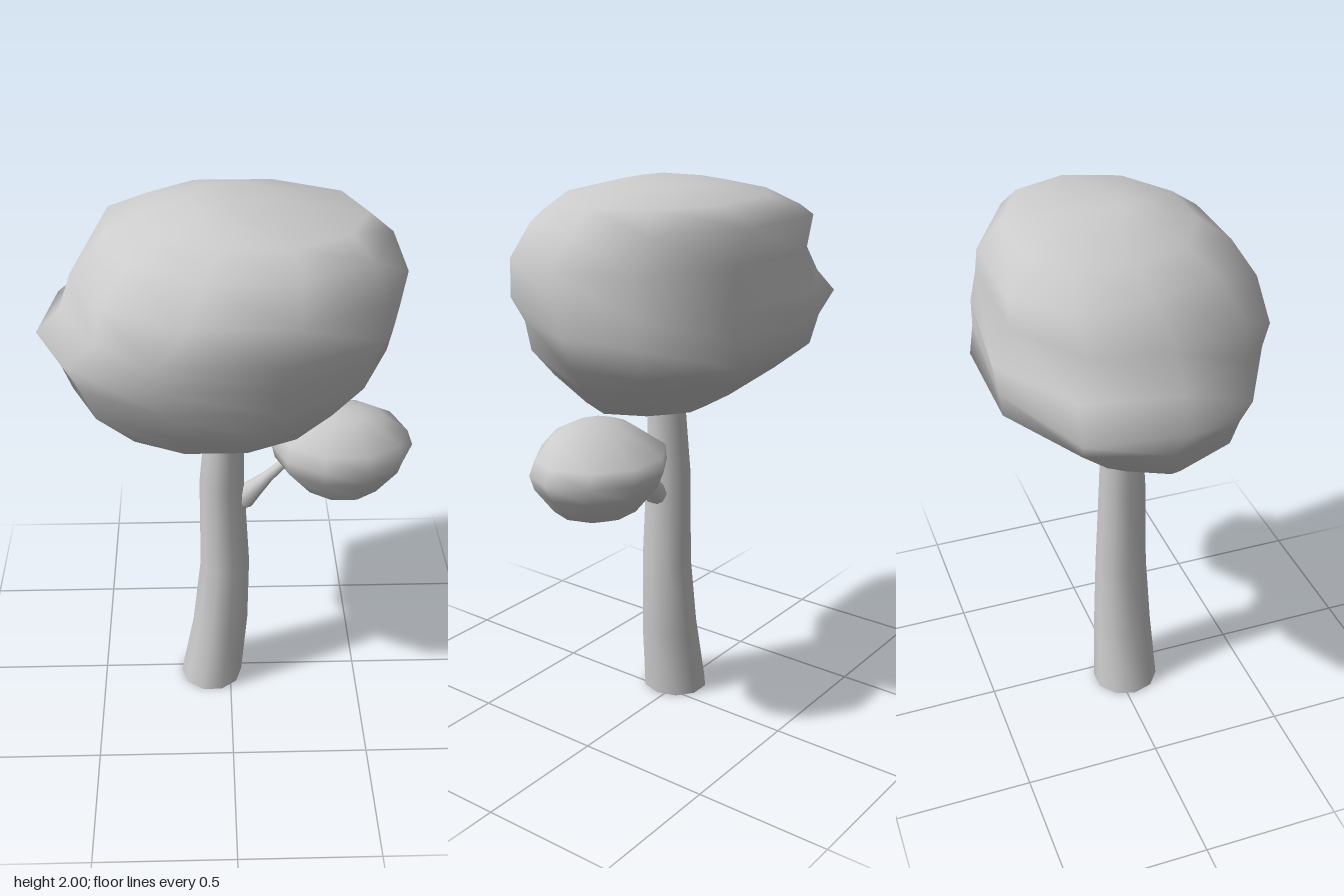
import * as THREE from 'three';

const SIDES = 10;
const material = new THREE.MeshStandardMaterial({ color: 0xcccccc });

// Skins a stack of ten-sided rings, listed upwards as [y, xMin, xMax, zMin, zMax].
// Poles [x, y, z] close the ends; dents[ring][corner] = [dx, dz] shifts single points.
function loft(rings, bottom, top, dents = {}) {
  const pos = [], index = [];
  const zReach = Math.sin(Math.PI * 0.4);
  rings.forEach(([y, x0, x1, z0, z1], i) => {
    for (let j = 0; j < SIDES; j++) {
      const a = (j / SIDES) * Math.PI * 2;
      const [dx, dz] = dents[i]?.[j] ?? [0, 0];
      pos.push(
        (x0 + x1) / 2 + ((x1 - x0) / 2) * Math.cos(a) + dx,
        y,
        (z0 + z1) / 2 + ((z1 - z0) / 2) * Math.sin(a) / zReach + dz);
    }
  });
  const last = (rings.length - 1) * SIDES;
  const lowPole = rings.length * SIDES;
  const highPole = lowPole + (bottom ? 1 : 0);
  if (bottom) pos.push(...bottom);
  pos.push(...top);
  for (let j = 0; j < SIDES; j++) {
    const k = (j + 1) % SIDES;
    for (let r = 0; r < last; r += SIDES) {
      const a = r + j, b = r + SIDES + j, c = r + SIDES + k, d = r + k;
      index.push(a, b, c, a, c, d);
    }
    if (bottom) index.push(lowPole, j, k);
    index.push(highPole, last + k, last + j);
  }
  const g = new THREE.BufferGeometry();
  g.setAttribute('position', new THREE.Float32BufferAttribute(pos, 3));
  g.setIndex(index);
  g.computeVertexNormals();
  return g;
}

export function createModel() {
  const tree = new THREE.Group();
  tree.name = 'tree';
  const add = (name, geometry) => {
    const mesh = new THREE.Mesh(geometry, material);
    mesh.name = name;
    tree.add(mesh);
    return mesh;
  };

  // Gently curved, tapering trunk: [y, centre x, radius]
  const trunk = [[0, -0.075, 0.12], [0.27, -0.038, 0.106], [0.55, -0.02, 0.093],
    [0.92, -0.031, 0.082], [1.15, -0.02, 0.071], [1.25, -0.015, 0.066]];
  add('trunk', loft(trunk.map(([y, x, r]) =>
    [y, x - r, x + r, 0.03 - r, 0.03 + r]), null, [-0.015, 1.26, 0.03]));
  const base = add('trunkBase', new THREE.CircleGeometry(0.122, SIDES).rotateX(Math.PI / 2));
  base.position.set(-0.075, 0, 0.03);

  // Side branch: rounded, swollen root thinning quickly to the tip
  const profile = [[0, -0.035], [0.034, -0.025], [0.047, 0.01], [0.035, 0.07], [0.022, 0.14], [0.014, 0.28]];
  const branch = add('branch', new THREE.LatheGeometry(
    profile.map(([r, h]) => new THREE.Vector2(r, h)), SIDES));
  branch.position.set(0.04, 0.835, 0.03);
  branch.rotation.z = -Math.PI / 4;

  // Large lopsided crown
  const crown = [
    [1.145, -0.22, 0.05, -0.06, 0.18],
    [1.2, -0.4, 0.29, -0.15, 0.29],
    [1.32, -0.55, 0.43, -0.31, 0.385],
    [1.43, -0.61, 0.55, -0.45, 0.43],
    [1.53, -0.665, 0.565, -0.465, 0.455],
    [1.62, -0.605, 0.58, -0.473, 0.475],
    [1.75, -0.535, 0.597, -0.415, 0.465],
    [1.87, -0.42, 0.545, -0.425, 0.39],
    [1.94, -0.3, 0.46, -0.33, 0.29],
    [1.98, -0.15, 0.17, -0.2, 0.15],
  ];
  // Pulled-out back right corner, fuller back left, dent above the right tip
  const dents = {
    3: { 6: [-0.025, 0], 8: [0.07, 0], 9: [0.07, 0.01] },
    4: { 0: [0, 0.02], 5: [0, 0.025], 6: [-0.07, -0.02], 8: [0.1, 0.035], 9: [0.08, 0.035] },
    5: { 0: [0, 0.02], 1: [0.03, 0], 3: [-0.05, 0], 4: [0.045, 0], 5: [0.025, 0.03],
      6: [-0.025, 0], 8: [0.08, 0.045], 9: [0.055, 0.035] },
    6: { 0: [0, 0.01], 6: [-0.06, 0.01], 7: [-0.08, 0], 9: [0, 0.02] },
    7: { 6: [-0.09, 0], 7: [-0.16, 0], 8: [-0.09, 0], 9: [0, 0.02] },
    8: { 6: [-0.05, 0], 7: [-0.08, 0], 8: [-0.04, 0] },
  };
  add('crown', loft(crown, [-0.1, 1.13, 0.05], [0, 2, 0.03], dents));

  // Small leaf clump on the branch
  const clump = [
    [0.87, 0.34, 0.47, -0.05, 0.1],
    [0.905, 0.26, 0.56, -0.125, 0.15],
    [1.0, 0.165, 0.645, -0.195, 0.198],
    [1.055, 0.15, 0.665, -0.217, 0.21],
    [1.11, 0.165, 0.645, -0.217, 0.195],
    [1.175, 0.24, 0.565, -0.1, 0.145],
    [1.2, 0.3, 0.49, -0.04, 0.1],
  ];
  const tip = { 0: [0, 0.02], 9: [0, 0.01] };
  add('leafClump', loft(clump, [0.41, 0.86, 0.03], [0.4, 1.212, 0.03], { 3: tip, 4: tip }));

  return tree;
}
